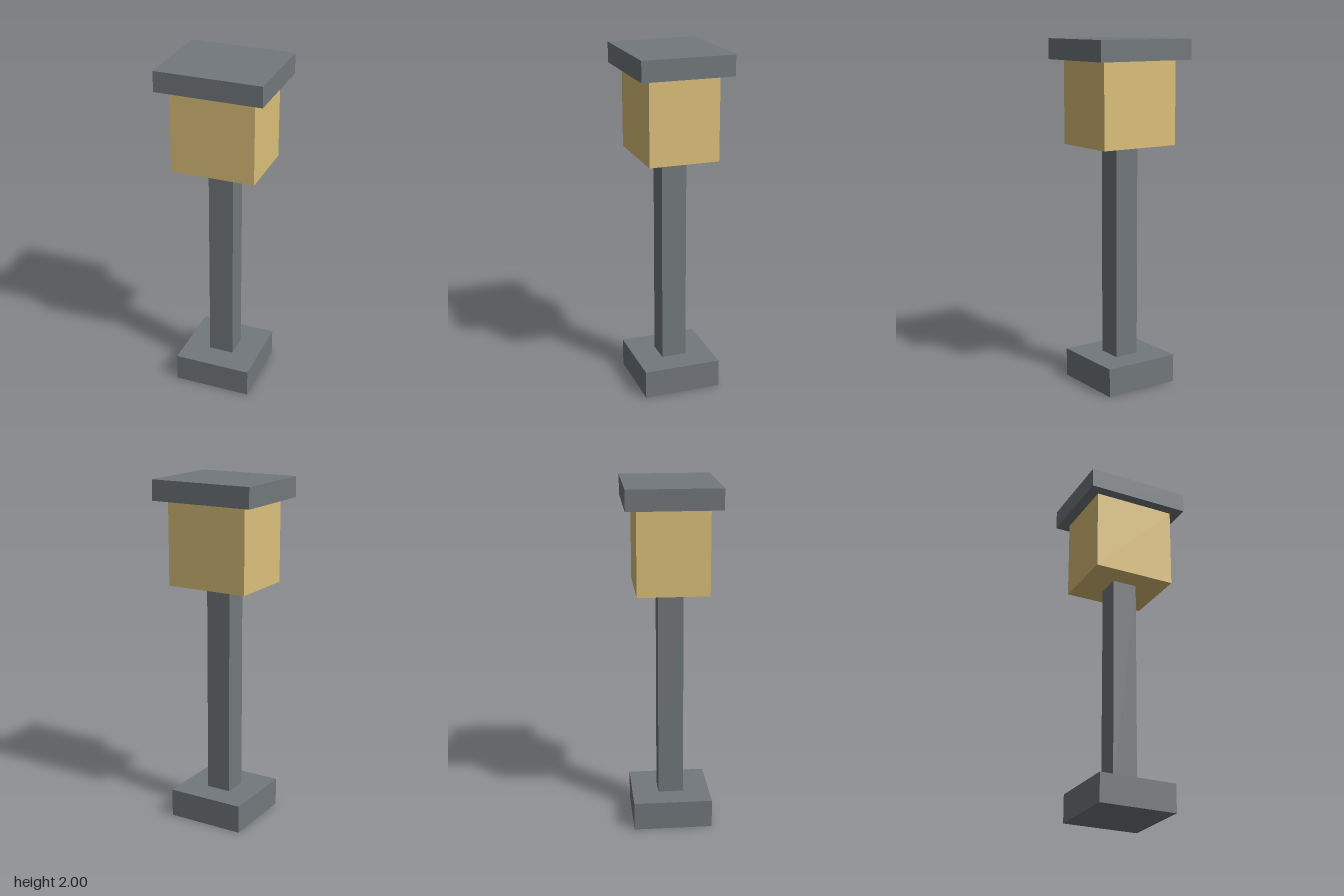
import * as THREE from 'three';

export function createModel() {
  const group = new THREE.Group();
  const metal = new THREE.MeshStandardMaterial({ color: 0x72787c });
  const glow = new THREE.MeshStandardMaterial({ color: 0xdcc07a });

  // Box spanning y0..y1, centred on the vertical axis
  function block(name, width, depth, y0, y1, material) {
    const mesh = new THREE.Mesh(new THREE.BoxGeometry(width, y1 - y0, depth), material);
    mesh.name = name;
    mesh.position.y = (y0 + y1) / 2;
    group.add(mesh);
  }

  block('base', 0.455, 0.455, 0, 0.164, metal);
  block('post', 0.146, 0.146, 0.164, 1.402, metal);
  block('lampBox', 0.485, 0.405, 1.402, 1.883, glow);
  block('roofCap', 0.61, 0.528, 1.883, 2, metal);

  return group;
}
